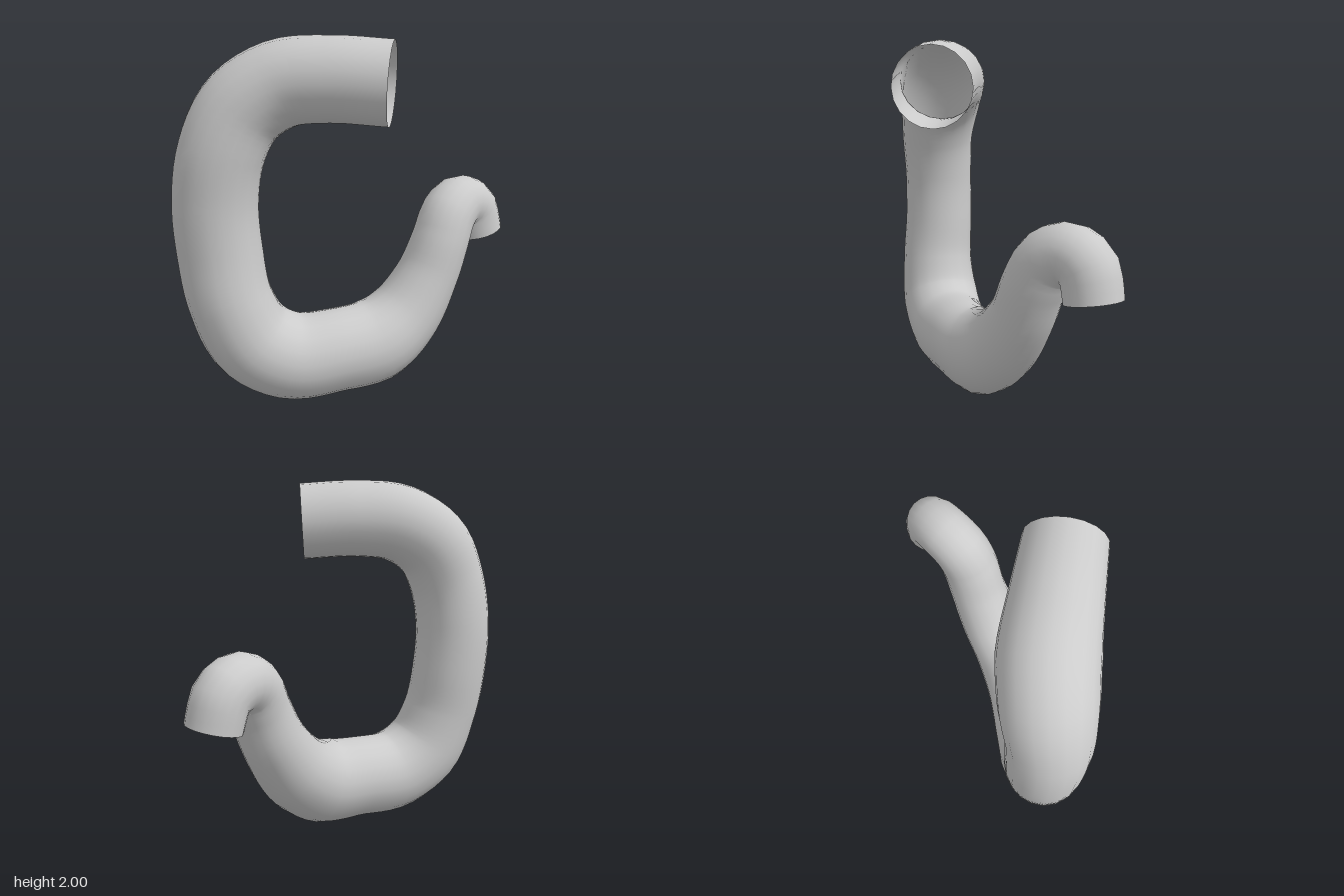
import * as THREE from 'three';

// Centreline stations: x, y, z, radius, sideways width ratio
const STATIONS = [
  [-0.09, 1.767, 0.36, 0.216, 0.98],
  [-0.29, 1.782, 0.125, 0.217, 1.05],
  [-0.46, 1.755, -0.065, 0.223, 1.1],
  [-0.615, 1.63, -0.19, 0.226, 1.06],
  [-0.71, 1.42, -0.247, 0.224, 0.98],
  [-0.743, 1.15, -0.28, 0.225, 0.93],
  [-0.735, 0.87, -0.27, 0.227, 0.93],
  [-0.71, 0.60, -0.228, 0.226, 0.97],
  [-0.617, 0.372, -0.165, 0.241, 0.99],
  [-0.44, 0.252, -0.065, 0.245, 0.95],
  [-0.20, 0.25, 0.047, 0.24, 0.88],
  [0.03, 0.275, 0.128, 0.252, 0.81],
  [0.22, 0.388, 0.158, 0.22, 0.87],
  [0.38, 0.60, 0.18, 0.184, 0.93],
  [0.47, 0.80, 0.192, 0.169, 1],
  [0.545, 0.935, 0.18, 0.165, 1],
  [0.66, 0.988, 0.16, 0.16, 1],
  [0.772, 0.945, 0.157, 0.156, 1],
  [0.806, 0.865, 0.162, 0.153, 1],
  [0.825, 0.783, 0.17, 0.151, 1],
];

const SEGMENTS = 80;
const SIDES = 20;
const SIDEWAYS = new THREE.Vector3(0.5, 0, -0.866); // roughly square to the loop of the pipe

export function createModel() {
  const group = new THREE.Group();
  group.name = 'bentPipe';
  const material = new THREE.MeshStandardMaterial({ color: 0xcccccc, side: THREE.DoubleSide });

  const curve = new THREE.CatmullRomCurve3(STATIONS.map(([x, y, z]) => new THREE.Vector3(x, y, z)));
  const valueAt = (u, column) => {
    const f = curve.getUtoTmapping(u) * (STATIONS.length - 1);
    const i = Math.min(Math.floor(f), STATIONS.length - 2);
    return THREE.MathUtils.lerp(STATIONS[i][column], STATIONS[i + 1][column], f - i);
  };

  // Unit tube whose rings are scaled to the local radius and flattened sideways
  const geometry = new THREE.TubeGeometry(curve, SEGMENTS, 1, SIDES);
  const pos = geometry.attributes.position;
  const v = new THREE.Vector3();
  for (let ring = 0; ring <= SEGMENTS; ring++) {
    const u = ring / SEGMENTS;
    const centre = curve.getPointAt(u);
    const side = SIDEWAYS.clone().projectOnPlane(curve.getTangentAt(u)).normalize();
    const radius = valueAt(u, 3);
    const ratio = valueAt(u, 4);
    for (let j = 0; j <= SIDES; j++) {
      const k = ring * (SIDES + 1) + j;
      v.fromBufferAttribute(pos, k).sub(centre);
      v.addScaledVector(side, v.dot(side) * (ratio - 1)).multiplyScalar(radius).add(centre);
      pos.setXYZ(k, v.x, v.y, v.z);
    }
  }
  const pipe = new THREE.Mesh(geometry, material);
  pipe.name = 'pipe';
  group.add(pipe);

  // Flat cap on the narrow end; the wide end stays open
  const cap = new THREE.Mesh(new THREE.CircleGeometry(valueAt(1, 3), SIDES), material);
  cap.name = 'endCap';
  cap.position.copy(curve.getPointAt(1));
  cap.quaternion.setFromUnitVectors(new THREE.Vector3(0, 0, 1), curve.getTangentAt(1));
  group.add(cap);

  return group;
}
